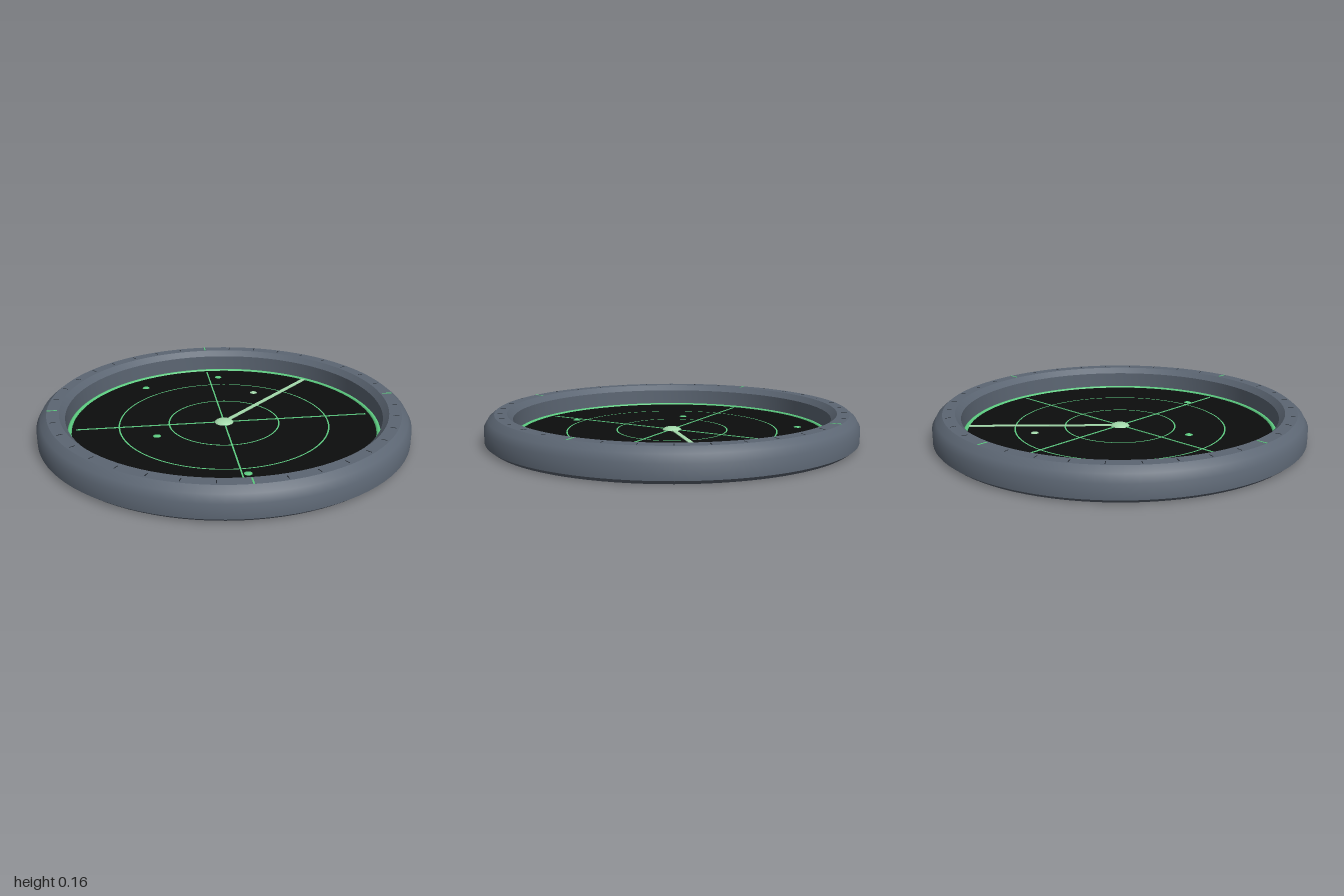
import * as THREE from 'three';
import { toCreasedNormals } from 'three/addons/utils/BufferGeometryUtils.js';

const material = (name, color) => {
  const m = new THREE.MeshStandardMaterial({ color });
  m.name = name;
  return m;
};

export function createModel() {
  const group = new THREE.Group();
  const slate = material('slate rim', 0x5c6673);
  const dark = material('dark tick', 0x23282e);
  const black = material('black screen', 0x0c0d0d);
  const green = material('bright green', 0x5ccb80);
  const pale = material('pale green', 0xa3d9ab);

  const add = (name, geometry, mat, x = 0, y = 0, z = 0) => {
    const mesh = new THREE.Mesh(geometry, mat);
    mesh.name = name;
    mesh.position.set(x, y, z);
    group.add(mesh);
    return mesh;
  };
  const midY = 0.036;

  // Chamfered housing ring
  const profile = [
    [0.85, 0], [0.975, 0], [1, 0.02], [1, 0.095], [0.978, 0.133], [0.945, 0.16],
    [0.88, 0.16], [0.85, 0.13], [0.85, 0],
  ].map(([r, y]) => new THREE.Vector2(r, y));
  add('housingRing', toCreasedNormals(new THREE.LatheGeometry(profile, 96), 0.65), slate);

  // Thin screen and the glowing ring around it
  add('screen', new THREE.CylinderGeometry(0.835, 0.835, 0.01, 96), black, 0, midY, 0);
  const edge = new THREE.TorusGeometry(0.834, 0.013, 10, 96).rotateX(Math.PI / 2);
  add('screenEdge', edge, green, 0, midY, 0);

  // Range circles and cross lines, just above the screen
  const lineY = midY + 0.0065;
  for (const r of [0.3, 0.57]) {
    const ring = new THREE.RingGeometry(r - 0.004, r + 0.004, 96).rotateX(-Math.PI / 2);
    add('rangeCircle', ring, green, 0, lineY, 0);
  }
  add('crossLineX', new THREE.BoxGeometry(1.6, 0.003, 0.008), green, 0, lineY, 0);
  add('crossLineZ', new THREE.BoxGeometry(0.008, 0.003, 1.6), green, 0, lineY, 0);

  // Bearing ticks on the rim, every ten degrees
  for (let i = 0; i < 36; i++) {
    const major = i % 9 === 0;
    const a = (i * Math.PI) / 18;
    const size = major ? [0.055, 0.004, 0.008] : [0.03, 0.003, 0.004];
    const tick = add(major ? 'majorTick' : 'minorTick', new THREE.BoxGeometry(...size),
      major ? green : dark, Math.cos(a) * 0.917, 0.1595, -Math.sin(a) * 0.917);
    tick.rotation.y = a;
  }

  // Sweep arm and flattened hub
  const arm = new THREE.BoxGeometry(0.825, 0.018, 0.024).translate(0.4125, 0, 0);
  add('sweepArm', arm, pale, 0, midY, 0).rotation.y = Math.PI / 4;
  const hub = new THREE.SphereGeometry(0.053, 24, 16).scale(1, 0.42, 1);
  add('hub', hub, pale, 0, midY, 0);

  // Flattened contact blips
  const blip = new THREE.SphereGeometry(0.024, 16, 12).scale(1, 0.45, 1);
  const contacts = [
    [-0.4, -0.575, green], [0.06, -0.7, green], [0.235, -0.41, pale],
    [-0.375, 0.135, green], [0.03, 0.62, green],
  ];
  for (const [x, z, mat] of contacts) add('blip', blip, mat, x, midY, z);

  return group;
}
